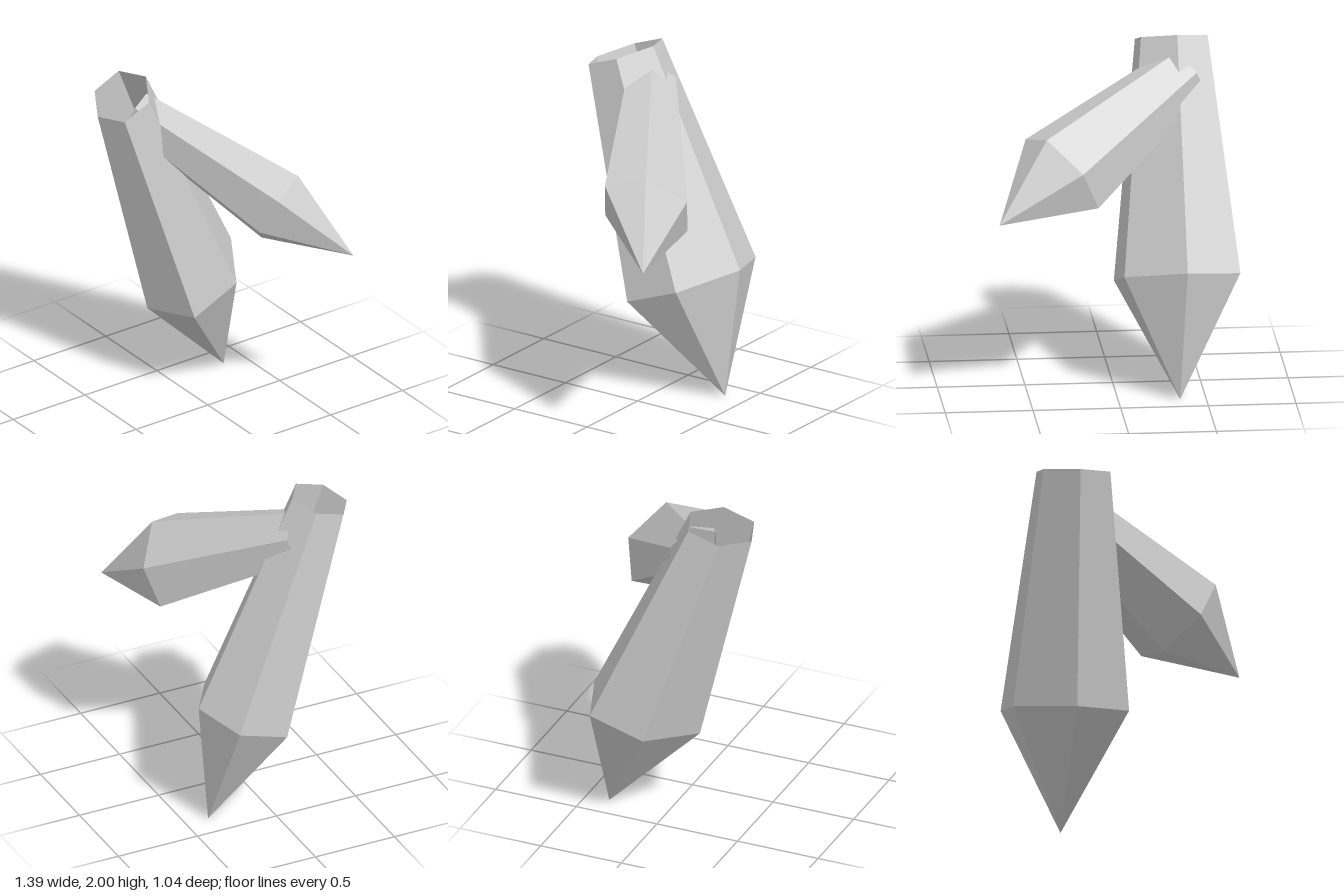
import * as THREE from 'three';

const material = new THREE.MeshStandardMaterial({
  color: 0xcccccc, flatShading: true, side: THREE.DoubleSide,
});

// Six-sided crystal, open at its base, running from a pointed tip to the base centre.
// cornerA and cornerB are neighbouring corners of the widest ring, relative to its centre.
function crystal(name, tip, base, cornerA, cornerB) {
  const profile = [[0, 0], [1, 0.338], [0.575, 1]].map(([r, y]) => new THREE.Vector2(r, y));
  const start = new THREE.Vector3(...tip);
  const axis = new THREE.Vector3(...base).sub(start);
  const u = new THREE.Vector3(...cornerA);
  const v = new THREE.Vector3(...cornerB).addScaledVector(u, -0.5).divideScalar(Math.sin(Math.PI / 3));
  const matrix = new THREE.Matrix4().makeBasis(v, axis, u).setPosition(start);

  const geometry = new THREE.LatheGeometry(profile, 6).applyMatrix4(matrix).toNonIndexed();
  geometry.computeVertexNormals();
  const mesh = new THREE.Mesh(geometry, material);
  mesh.name = name;
  return mesh;
}

export function createModel() {
  const group = new THREE.Group();
  group.name = 'crystalCluster';
  group.add(
    // large crystal hanging down, leaning back
    crystal('largeCrystal', [-0.352, 0, -0.36], [-0.365, 1.938, 0.34],
      [0.032, -0.113, 0.314], [0.342, -0.074, 0.205]),
    // smaller crystal branching off near the top
    crystal('smallCrystal', [0.692, 1.108, -0.522], [-0.428, 1.771, 0.196],
      [0.102, -0.055, 0.212], [0.194, 0.165, 0.15]),
  );
  return group;
}
